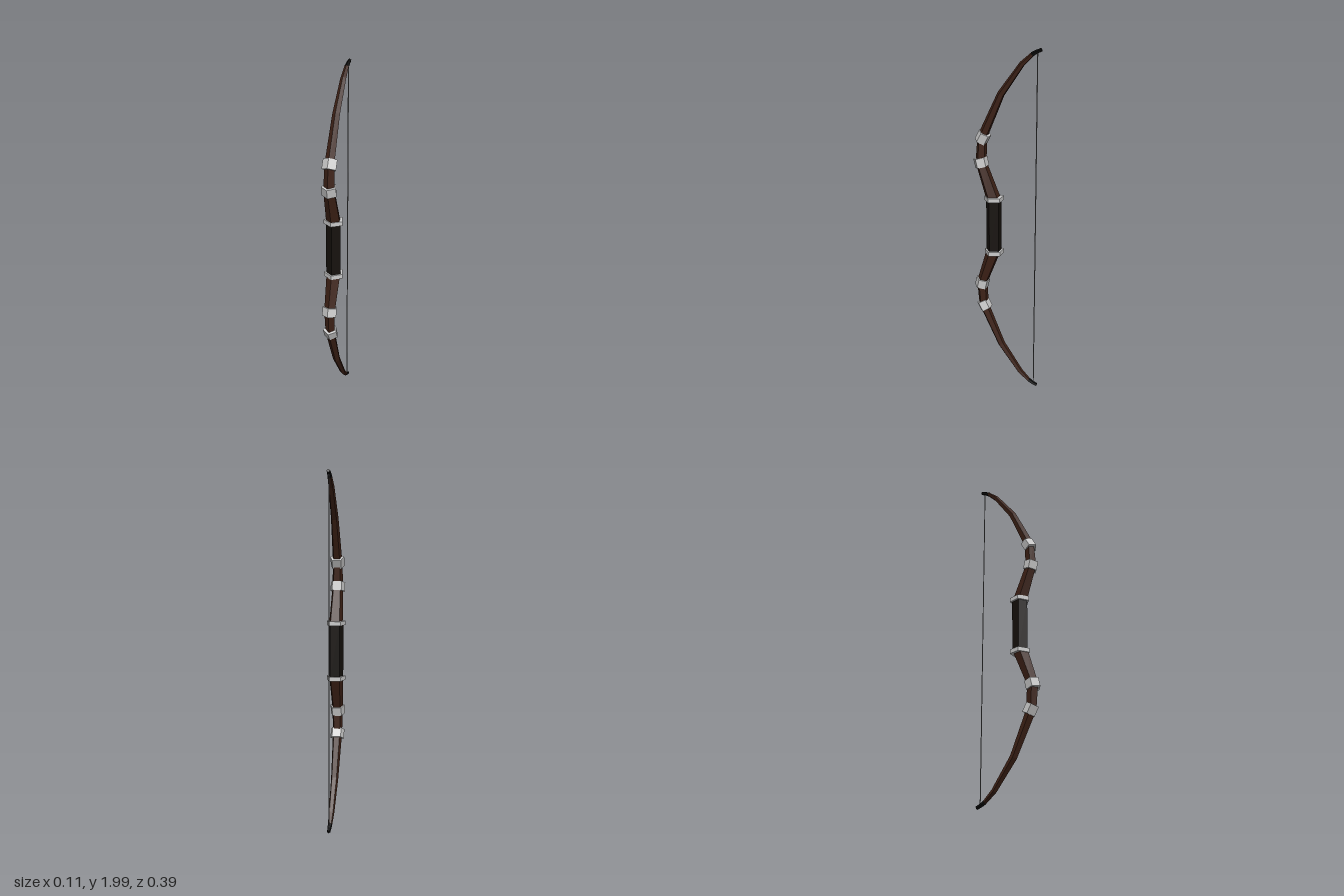
import * as THREE from 'three';

const MID = 1.004; // height of the grip centre; the bow mirrors about it

const paint = (color) => new THREE.MeshStandardMaterial({ color, flatShading: true });
const wood = paint(0x3d2116);
const leather = paint(0x16110d);
const metal = paint(0xcccccc);
const black = paint(0x0b0b0b);
const cord = paint(0x777777);

// Five-sided section with a flat back and a front ridge: [side, front]
const SECTION = [[0.63, -1], [1, 0.2], [0, 1], [-1, 0.2], [-0.63, -1]];

// Sweeps the section along stations [y, z, halfWidth, halfDepth], ordered upward
function loft(stations) {
  const n = SECTION.length, last = stations.length - 1;
  const rings = stations.map(([y, z, w, d], i) => {
    const t = new THREE.Vector2();
    for (const [a, b] of [[i - 1, i], [i, i + 1]]) {
      if (a < 0 || b > last) continue;
      t.add(new THREE.Vector2(stations[b][1] - stations[a][1], stations[b][0] - stations[a][0]).normalize());
    }
    t.normalize();
    return SECTION.map(([u, v]) => [u * w, MID + y - t.x * v * d, z + t.y * v * d]);
  });
  const pos = [];
  const tri = (...corners) => corners.forEach((c) => pos.push(...c));
  for (let i = 0; i < last; i++) {
    for (let j = 0; j < n; j++) {
      const k = (j + 1) % n, lo = rings[i], hi = rings[i + 1];
      tri(lo[j], hi[j], lo[k]);
      tri(lo[k], hi[j], hi[k]);
    }
  }
  for (let j = 1; j < n - 1; j++) {
    tri(rings[0][0], rings[0][j], rings[0][j + 1]);
    tri(rings[last][0], rings[last][j + 1], rings[last][j]);
  }
  const geo = new THREE.BufferGeometry();
  geo.setAttribute('position', new THREE.Float32BufferAttribute(pos, 3));
  geo.computeVertexNormals();
  return geo;
}

// Same path turned upside down, kept in upward order
const flip = (stations) => stations.map(([y, ...rest]) => [-y, ...rest]).reverse();

// Two stations for a short collar centred at (y, z) and leaning forward by tilt
function collar(y, z, w, d, length, tilt) {
  const dy = Math.cos(tilt) * length / 2, dz = Math.sin(tilt) * length / 2;
  return [[y - dy, z - dz, w, d], [y + dy, z + dz, w, d]];
}

export function createModel() {
  const bow = new THREE.Group();
  bow.name = 'bow';
  const add = (parent, name, geo, mat) => {
    const mesh = new THREE.Mesh(geo, mat);
    mesh.name = name;
    parent.add(mesh);
  };

  // Wrapped grip
  add(bow, 'grip', loft([[-0.16, 0.08, 0.042, 0.041], [0.16, 0.08, 0.042, 0.041]]), leather);

  // Parts of one half, measured up from the grip centre
  const parts = [
    ['limb', wood, [
      [0.15, 0.08, 0.04, 0.038],
      [0.361, 0.153, 0.031, 0.029],
      [0.504, 0.143, 0.027, 0.026],
      [0.746, 0.033, 0.021, 0.019],
      [0.909, -0.085, 0.016, 0.014],
      [0.964, -0.145, 0.012, 0.01],
    ]],
    ['limbTip', black, [
      [0.96, -0.14, 0.0125, 0.0115],
      [0.974, -0.165, 0.011, 0.01],
      [0.985, -0.191, 0.009, 0.009],
    ]],
    ['gripCollar', metal, collar(0.159, 0.08, 0.054, 0.052, 0.024, 0)],
    ['innerBand', metal, collar(0.361, 0.153, 0.042, 0.037, 0.052, 0.23)],
    ['outerBand', metal, collar(0.504, 0.14, 0.04, 0.034, 0.056, -0.49)],
  ];
  for (const side of ['upper', 'lower']) {
    const half = new THREE.Group();
    half.name = side + 'Half';
    for (const [name, mat, path] of parts) {
      add(half, name, loft(side === 'upper' ? path : flip(path)), mat);
    }
    bow.add(half);
  }

  // Bowstring between the tips
  const string = new THREE.CylinderGeometry(0.003, 0.003, 1.95, 6);
  string.translate(0, MID, -0.17);
  add(bow, 'bowstring', string, cord);

  return bow;
}
